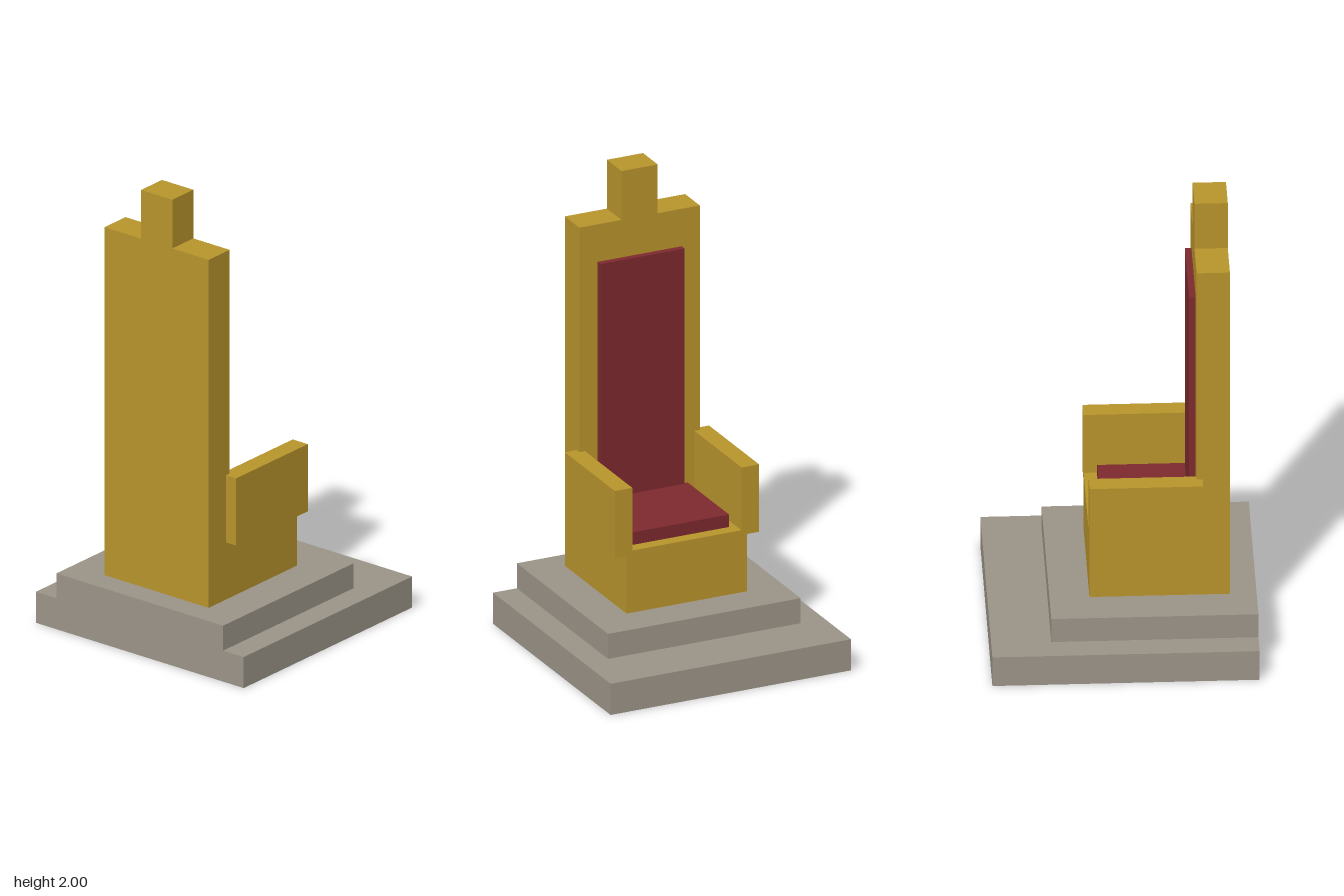
import * as THREE from 'three';

const material = (name, color) => {
  const m = new THREE.MeshStandardMaterial({ color });
  m.name = name;
  return m;
};

export function createModel() {
  const gold = material('gold', 0xb8942c);
  const stone = material('stone', 0x9b9488);
  const red = material('red velvet', 0x7d2a2e);

  const throne = new THREE.Group();
  throne.name = 'throne';

  // Box given by its extents on each axis
  const block = (name, mat, [x0, x1], [y0, y1], [z0, z1]) => {
    const mesh = new THREE.Mesh(new THREE.BoxGeometry(x1 - x0, y1 - y0, z1 - z0), mat);
    mesh.position.set((x0 + x1) / 2, (y0 + y1) / 2, (z0 + z1) / 2);
    mesh.name = name;
    throne.add(mesh);
  };

  // Stepped stone dais, flush at the back
  block('lowerStep', stone, [-0.545, 0.545], [0, 0.137], [-0.545, 0.545]);
  block('upperStep', stone, [-0.437, 0.437], [0.137, 0.247], [-0.3, 0.545]);

  // Seat block and its cushion; the throne faces -z
  block('seat', gold, [-0.273, 0.273], [0.247, 0.52], [-0.137, 0.3]);
  block('seatCushion', red, [-0.218, 0.218], [0.52, 0.575], [-0.083, 0.3]);

  // Tall backrest with a raised centre, cut as one outline
  const outline = new THREE.Shape([
    [-0.273, 0.247], [0.273, 0.247], [0.273, 1.785], [0.082, 1.785],
    [0.082, 2], [-0.082, 2], [-0.082, 1.785], [-0.273, 1.785],
  ].map(([x, y]) => new THREE.Vector2(x, y)));
  const back = new THREE.Mesh(
    new THREE.ExtrudeGeometry(outline, { depth: 0.136, bevelEnabled: false }), gold);
  back.position.z = 0.3;
  back.name = 'backrest';
  throne.add(back);
  block('backCushion', red, [-0.191, 0.191], [0.584, 1.62], [0.273, 0.302]);

  // Armrests
  block('leftArmrest', gold, [0.248, 0.327], [0.5, 0.797], [-0.139, 0.325]);
  block('rightArmrest', gold, [-0.327, -0.248], [0.5, 0.797], [-0.139, 0.325]);

  return throne;
}
